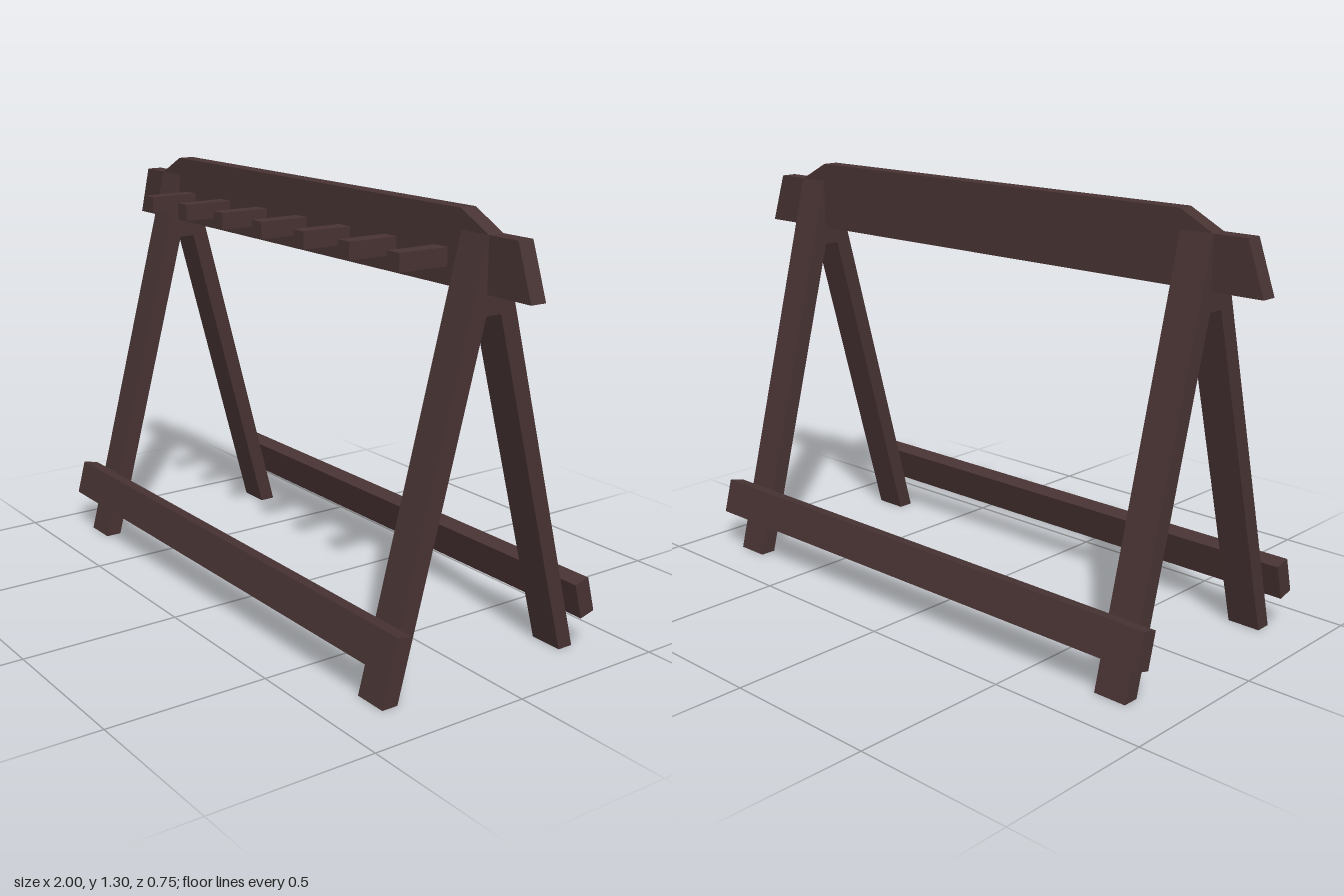
import * as THREE from 'three';

const wood = new THREE.MeshStandardMaterial({ color: 0x483333 });
wood.name = 'dark wood';

// Flat outline extruded to a depth centred on zero
function plank(points, depth) {
  const shape = new THREE.Shape(points.map(([a, b]) => new THREE.Vector2(a, b)));
  const geo = new THREE.ExtrudeGeometry(shape, { depth, bevelEnabled: false });
  return geo.translate(0, 0, -depth / 2);
}

// Outline given as (z, y), extruded along x
const sidePlank = (points, width) => plank(points, width).rotateY(-Math.PI / 2);

export function createModel() {
  const model = new THREE.Group();
  model.name = 'aFrameRack';
  const add = (name, geo, x = 0, y = 0, z = 0) => {
    const mesh = new THREE.Mesh(geo, wood);
    mesh.name = name;
    mesh.position.set(x, y, z);
    model.add(mesh);
    return mesh;
  };

  // Top beam with raised middle and slanted ends
  add('topBeam', plank([
    [-1, 1.087], [1, 1.087], [0.945, 1.243], [0.835, 1.243],
    [0.725, 1.3], [-0.725, 1.3], [-0.835, 1.243], [-0.945, 1.243],
  ], 0.051));

  // Splayed legs and lower rails, front and back
  const leg = sidePlank([[0.299, 0], [0.35, 0], [0.0255, 1.243], [0.0255, 1.03]], 0.107);
  const rail = sidePlank([[0.297, 0.22], [0.325, 0.111], [0.375, 0.124], [0.347, 0.232]], 1.784);
  for (const side of ['front', 'back']) {
    const turn = side === 'front' ? 0 : Math.PI;
    for (const x of [-0.783, 0.783]) add(side + 'Leg', leg, x).rotation.y = turn;
    add(side + 'Rail', rail).rotation.y = turn;
  }

  // Blocks joining the legs under the beam
  for (const x of [-0.783, 0.783]) {
    add('legJoint', new THREE.BoxGeometry(0.107, 0.057, 0.051), x, 1.0585, 0);
  }

  // Row of hanging pegs
  const peg = new THREE.BoxGeometry(0.052, 0.052, 0.164);
  for (let i = -3; i <= 3; i++) add('peg', peg, i * 0.2167, 1.164, 0.107);

  return model;
}
